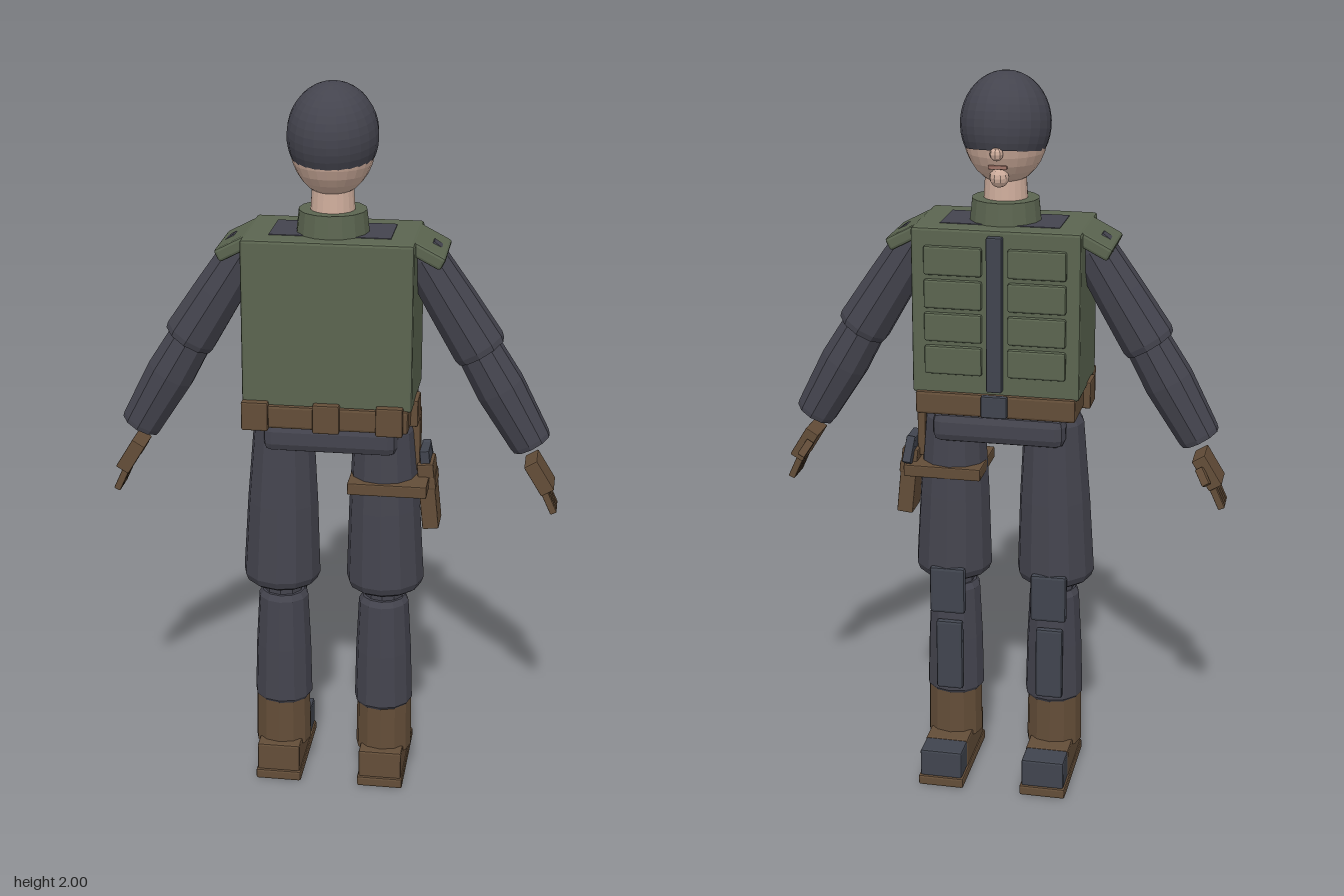
import * as THREE from 'three';
import { RoundedBoxGeometry } from 'three/addons/geometries/RoundedBoxGeometry.js';

const paint = (name, color) => {
  const m = new THREE.MeshStandardMaterial({ color, flatShading: true });
  m.name = name;
  return m;
};

export function createModel() {
  const root = new THREE.Group();
  root.name = 'armouredFigure';
  const olive = paint('olive vest', 0x5b6550);
  const cloth = paint('dark cloth', 0x44444e);
  const slate = paint('slate plastic', 0x40444e);
  const leather = paint('brown leather', 0x634d38);
  const skin = paint('skin', 0xcdac9b);
  const lip = paint('lip', 0xa07468);

  const add = (name, geo, mat, x, y, z, parent = root) => {
    const m = new THREE.Mesh(geo, mat);
    m.name = name;
    m.position.set(x, y, z);
    parent.add(m);
    return m;
  };
  const box = (name, mat, w, h, d, x, y, z, r = 0.008, parent = root) =>
    add(name, new RoundedBoxGeometry(w, h, d, 1, Math.min(r, w / 3, h / 3, d / 3)), mat, x, y, z, parent);
  // Faceted round limb from a to b; profile lists [fraction along, radius]
  const limb = (name, mat, a, b, profile, sides = 10) => {
    const A = new THREE.Vector3(...a), B = new THREE.Vector3(...b);
    const len = A.distanceTo(B);
    const pts = [[0, 0], ...profile, [1, 0]].map(([t, r]) => new THREE.Vector2(r, t * len));
    const m = add(name, new THREE.LatheGeometry(pts, sides), mat, ...a);
    m.quaternion.setFromUnitVectors(new THREE.Vector3(0, 1, 0), B.sub(A).normalize());
    return m;
  };

  // Head, face and cap (the figure faces -z)
  add('head', new THREE.SphereGeometry(1, 24, 16), skin, 0, 1.845, 0.035).scale.set(0.112, 0.14, 0.124);
  const cap = add('cap', new THREE.SphereGeometry(1, 24, 14, 0, Math.PI * 2, 0, Math.PI * 0.665), cloth, 0, 1.864, 0.035);
  cap.scale.set(0.119, 0.136, 0.134);
  cap.rotation.x = 0.15;
  cap.material = cloth.clone();
  cap.material.name = 'cap cloth';
  cap.material.side = THREE.DoubleSide;
  add('nose', new THREE.SphereGeometry(0.018, 8, 6), skin, 0, 1.805, -0.088);
  add('chin', new THREE.SphereGeometry(0.026, 10, 8), skin, 0, 1.738, -0.052);
  box('mouth', lip, 0.05, 0.01, 0.009, 0, 1.768, -0.073, 0.002);
  add('neck', new THREE.CylinderGeometry(0.055, 0.062, 0.11, 20), skin, 0, 1.675, 0.035);
  add('collar', new THREE.CylinderGeometry(0.09, 0.097, 0.065, 16), olive, 0, 1.637, 0.033);

  // Vest
  box('vest', olive, 0.452, 0.452, 0.268, 0, 1.384, 0.027);
  box('neckYoke', cloth, 0.32, 0.008, 0.15, 0, 1.608, 0.025, 0.001);
  box('zipStrip', slate, 0.042, 0.42, 0.026, 0, 1.385, -0.114, 0.004);
  for (const s of [-1, 1]) {
    for (let i = 0; i < 4; i++)
      box('vestPouch', olive, 0.155, 0.078, 0.018, s * 0.112, 1.255 + i * 0.09, -0.112, 0.006);
  }

  // Belt
  box('belt', leather, 0.435, 0.065, 0.285, 0, 1.132, 0.027);
  for (const x of [-0.19, 0, 0.168])
    box('beltPouch', leather, 0.072, 0.08, 0.05, x, 1.135, 0.156, 0.005);
  for (const s of [-1, 1])
    box('sidePouch', leather, 0.03, 0.075, 0.08, s * 0.222, 1.135, 0.06, 0.005);
  box('buckle', slate, 0.07, 0.06, 0.02, 0, 1.135, -0.122, 0.004);
  box('pelvis', cloth, 0.365, 0.085, 0.205, 0, 1.052, 0.015, 0.025);

  for (const s of [-1, 1]) {
    // Arm
    const pad = box('shoulderPad', olive, 0.1, 0.036, 0.196, s * 0.252, 1.573, 0.019);
    pad.rotation.z = -s * 0.48;
    limb('upperArm', cloth, [s * 0.225, 1.565, 0.018], [s * 0.396, 1.292, 0.018],
      [[0, 0.05], [0.07, 0.06], [0.5, 0.068], [0.95, 0.074], [1, 0.07]]);
    limb('forearm', cloth, [s * 0.375, 1.32, 0.018], [s * 0.538, 1.038, 0.018],
      [[0, 0.055], [0.08, 0.062], [0.45, 0.068], [0.96, 0.058], [1, 0.055]]);

    // Hand, hung along the forearm line
    const hand = new THREE.Group();
    hand.name = 'hand';
    hand.position.set(s * 0.562, 0.953, 0.018);
    hand.rotation.z = s * 0.55;
    root.add(hand);
    box('palm', leather, 0.04, 0.095, 0.092, 0, 0, 0, 0.003, hand);
    for (let i = 0; i < 4; i++) {
      const f = box('finger', leather, 0.019, 0.075, 0.017, -s * 0.012, -0.072, (i - 1.5) * 0.021, 0.003, hand);
      f.rotation.z = -s * 0.12;
    }
    const thumb = box('thumb', leather, 0.022, 0.05, 0.022, -s * 0.01, 0.0, -0.058, 0.003, hand);
    thumb.rotation.x = 0.45;

    // Leg
    limb('thigh', cloth, [s * 0.146, 0.595, 0.025], [s * 0.137, 1.085, 0.02],
      [[0, 0.085], [0.02, 0.1], [0.06, 0.108], [0.5, 0.098], [0.95, 0.083], [1, 0.07]], 12);
    limb('knee', cloth, [s * 0.143, 0.54, 0.022], [s * 0.143, 0.62, 0.022], [[0, 0.055], [1, 0.055]]);
    limb('shin', cloth, [s * 0.144, 0.235, 0.025], [s * 0.142, 0.567, 0.025],
      [[0, 0.076], [0.03, 0.082], [0.5, 0.078], [0.95, 0.07], [1, 0.06]], 12);
    box('kneePad', slate, 0.1, 0.138, 0.026, s * 0.143, 0.57, -0.073, 0.01);
    box('shinGuard', slate, 0.076, 0.21, 0.022, s * 0.143, 0.362, -0.055, 0.008);

    // Boot
    add('bootShaft', new THREE.CylinderGeometry(0.077, 0.079, 0.15, 12), leather, s * 0.146, 0.167, 0.025);
    box('boot', leather, 0.122, 0.085, 0.22, s * 0.146, 0.068, 0.013, 0.006);
    box('toeCap', slate, 0.12, 0.082, 0.078, s * 0.146, 0.068, -0.131, 0.006);
    box('sole', leather, 0.13, 0.03, 0.305, s * 0.146, 0.015, -0.023, 0.006);
  }

  // Thigh rig on the left leg
  box('thighStrap', leather, 0.215, 0.034, 0.196, 0.157, 0.917, 0.023, 0.004);
  box('dropStrap', leather, 0.022, 0.17, 0.045, 0.226, 1.03, 0.005, 0.003);
  const holster = new THREE.Group();
  holster.name = 'holster';
  holster.position.set(0.262, 0.875, 0.002);
  holster.rotation.z = 0.1;
  root.add(holster);
  box('holsterBody', leather, 0.045, 0.19, 0.09, 0, 0, 0, 0.004, holster);
  box('holsterFlap', leather, 0.05, 0.035, 0.095, 0, 0.04, 0, 0.004, holster);
  box('sidearmSlide', slate, 0.026, 0.04, 0.08, 0, 0.11, -0.005, 0.003, holster);
  const grip = box('sidearmGrip', slate, 0.024, 0.075, 0.032, 0, 0.095, -0.052, 0.003, holster);
  grip.rotation.x = 0.5;

  return root;
}
